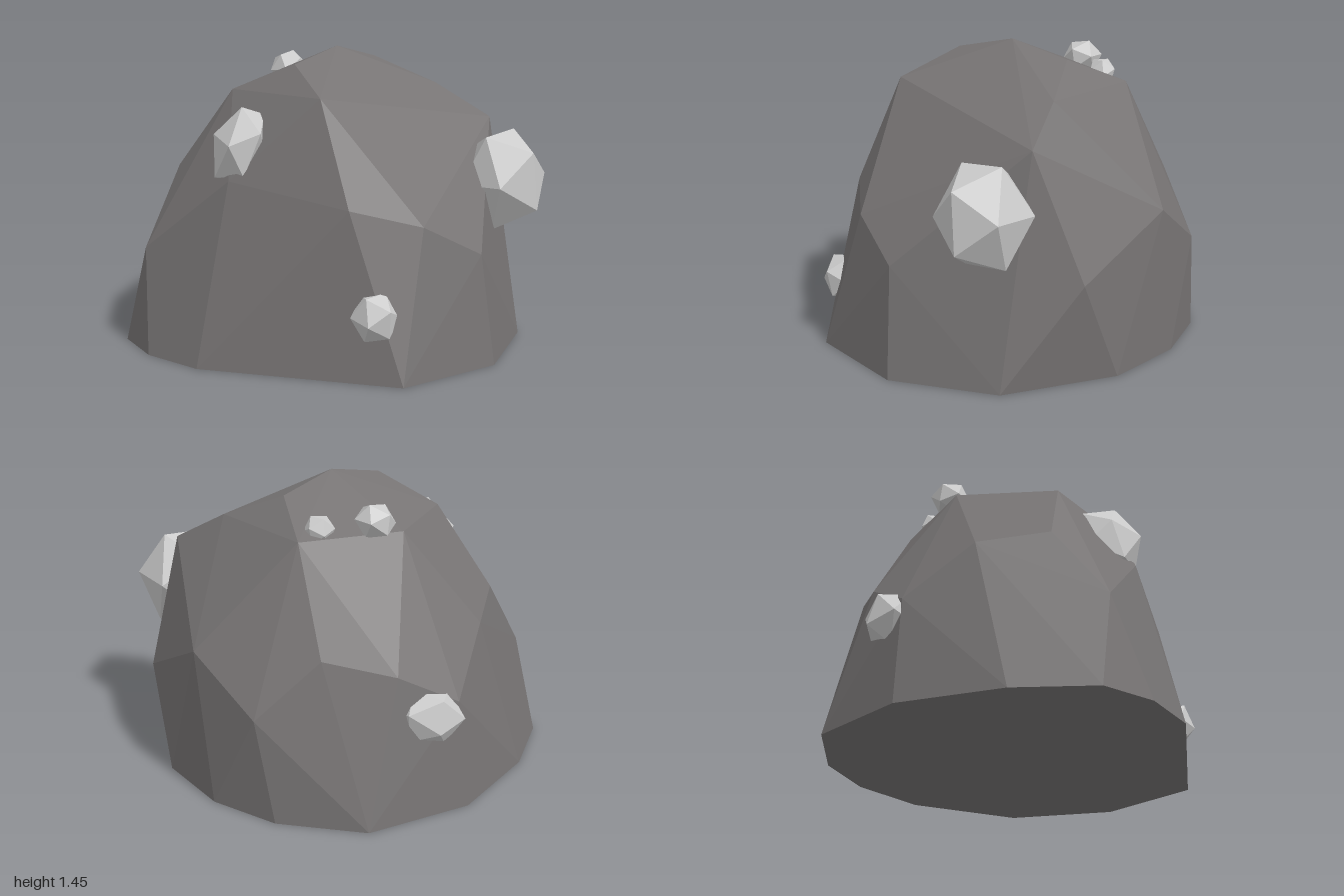
import * as THREE from 'three';
import { ConvexGeometry } from 'three/addons/geometries/ConvexGeometry.js';

// Outline of the flat underside, as x, z
const BASE = [
  [-1, -0.1], [-0.81, -0.45], [-0.44, -0.82], [0.07, -0.98], [0.48, -0.82], [0.74, -0.57],
  [0.92, -0.2], [0.92, 0.38], [0.59, 0.81], [0.07, 0.98], [-0.76, 0.45], [-0.94, 0.18],
];

// Corners of the flanks, as x, y, z
const FLANK = [
  [0.22, 0.69, 0.82], [-0.11, 0.77, 0.74], [0.53, 0.53, 0.77], [0.98, 0.49, 0],
  [0.82, 1.09, 0.19], [0.8, 0.74, -0.47], [0.56, 0.5, -0.76], [0.25, 0.77, -0.76],
  [-0.09, 0.69, -0.82], [-0.39, 0.53, -0.78], [-0.56, 0.8, -0.5], [-0.7, 0.86, -0.18],
  [-0.91, 0.49, 0], [-0.57, 0.86, 0.34],
];

// Corners of the crown
const CROWN = [
  [0.07, 1.45, 0], [-0.2, 1.38, 0.18], [0.33, 1.38, -0.18], [0.6, 1.25, 0], [-0.46, 1.25, -0.02],
  [0.32, 1.15, 0.36], [-0.17, 1.25, 0.5], [0.31, 1.25, -0.5], [-0.19, 1.26, -0.45],
];

// Nuggets: name, centre, radii, rotation
const NUGGETS = [
  ['leftNugget', [0.8, 0.81, 0.41], [0.22, 0.27, 0.23], [0, 0.5, 0.1]],
  ['rightNugget', [-0.49, 1.01, 0.24], [0.13, 0.21, 0.18], [0.1, 0.3, -0.35]],
  ['frontNugget', [-0.02, 0.3, 0.85], [0.115, 0.125, 0.115], [0.2, 0.4, 0.1]],
  ['backNugget', [-0.25, 0.47, -0.78], [0.17, 0.15, 0.13], [0.3, 0.2, 0.2]],
  ['topNugget', [-0.06, 1.31, -0.43], [0.1, 0.09, 0.1], [0.1, 0.6, 0.2]],
  ['smallTopNugget', [0.2, 1.28, -0.42], [0.075, 0.075, 0.07], [0.4, 0.2, 0.1]],
];

export function createModel() {
  const group = new THREE.Group();
  const stone = new THREE.MeshStandardMaterial({ color: 0x777474, flatShading: true });
  const ore = new THREE.MeshStandardMaterial({ color: 0xcccccc, flatShading: true });

  // Faceted boulder
  const corners = [...BASE.map(([x, z]) => [x, 0, z]), ...FLANK, ...CROWN];
  const boulder = new THREE.Mesh(
    new ConvexGeometry(corners.map((p) => new THREE.Vector3(...p))), stone);
  boulder.name = 'boulder';
  group.add(boulder);

  // Ore nuggets half sunk in the surface
  for (const [name, centre, radii, turn] of NUGGETS) {
    const geometry = new THREE.IcosahedronGeometry(1, 0);
    geometry.rotateX(turn[0]).rotateY(turn[1]).scale(...radii).rotateZ(turn[2]);
    const nugget = new THREE.Mesh(geometry, ore);
    nugget.name = name;
    nugget.position.set(...centre);
    group.add(nugget);
  }
  return group;
}
